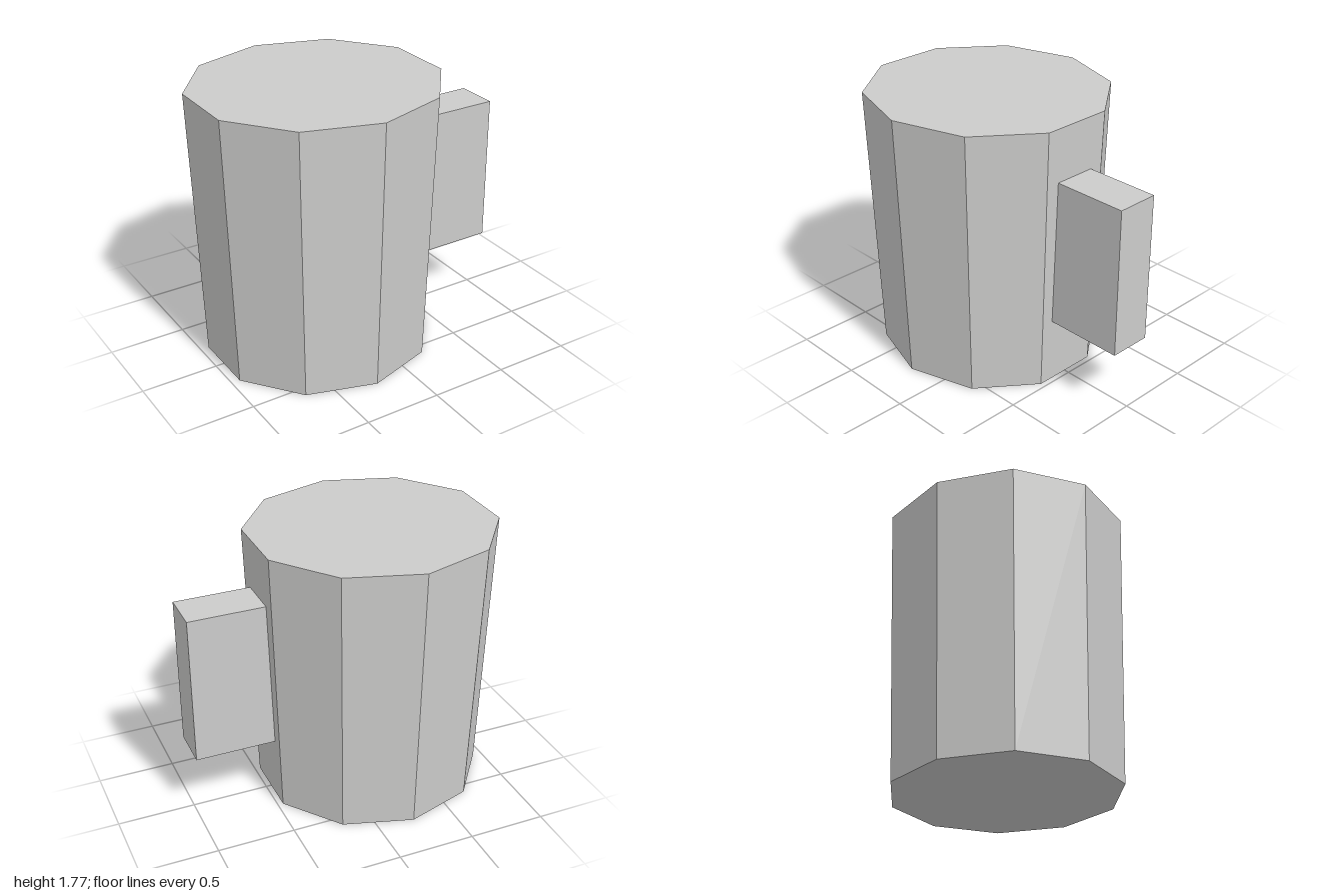
import * as THREE from 'three';

export function createModel() {
  const model = new THREE.Group();
  model.name = 'mug';
  const paleGrey = new THREE.MeshStandardMaterial({ color: 0xcccccb });
  paleGrey.name = 'paleGrey';
  paleGrey.flatShading = true;

  const add = (name, geometry, x, y, z) => {
    const mesh = new THREE.Mesh(geometry, paleGrey);
    mesh.name = name;
    mesh.position.set(x, y, z);
    model.add(mesh);
  };

  // Ten-sided tapered body, closed at both ends, stretched so its width equals its depth
  const height = 1.77;
  const body = new THREE.CylinderGeometry(0.76, 0.705, height, 10);
  body.scale(1 / Math.cos(Math.PI / 10), 1, 1);
  add('body', body, -0.24, height / 2, 0);

  // Solid block handle, sunk slightly into the flat side
  add('handle', new THREE.BoxGeometry(0.56, 0.975, 0.28), 0.72, 0.9325, 0);

  return model;
}
